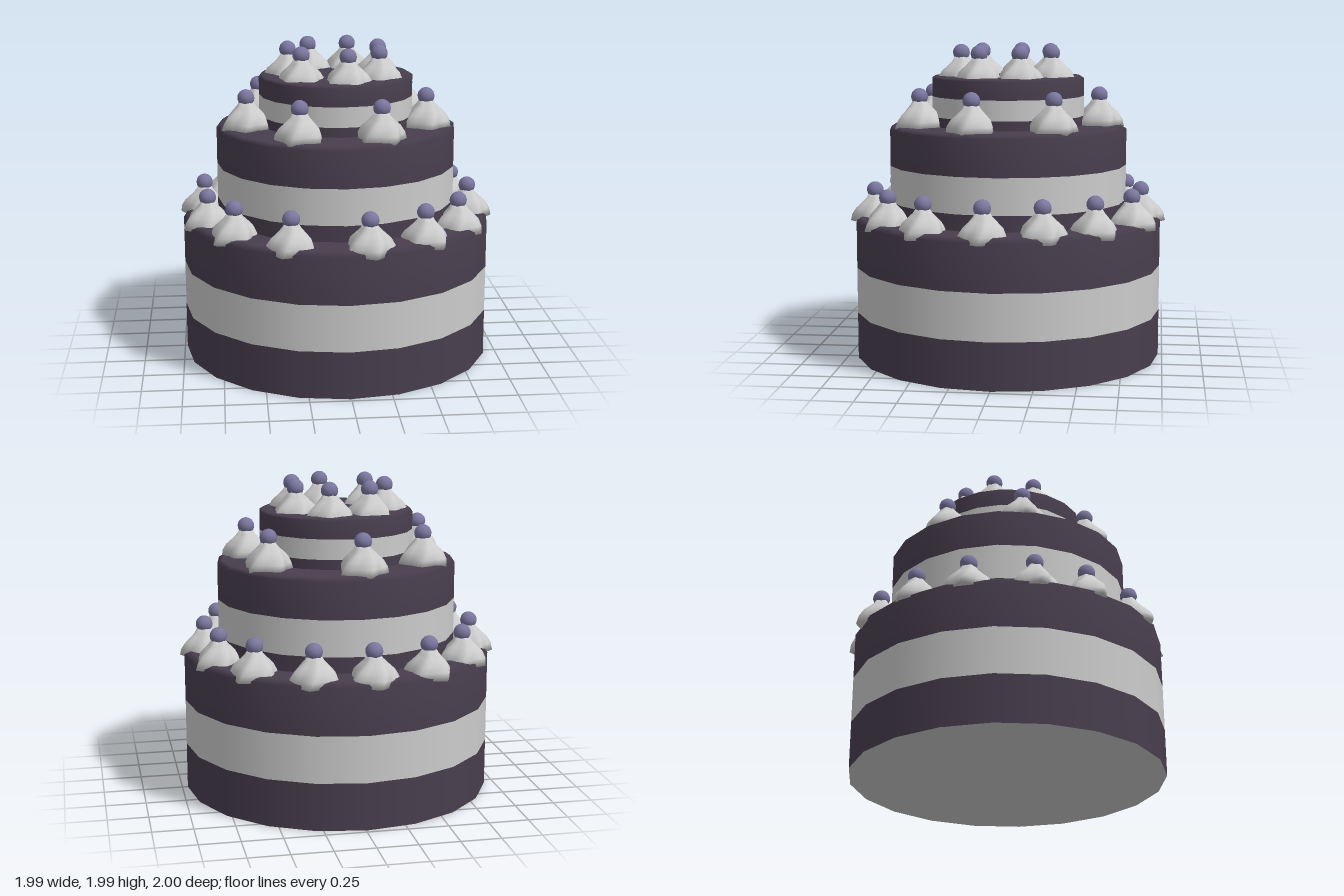
import * as THREE from 'three';
import { mergeVertices } from 'three/addons/utils/BufferGeometryUtils.js';

const CENTRE_X = -0.01;
const sponge = new THREE.MeshStandardMaterial({ color: 0x483e4e });
const cream = new THREE.MeshStandardMaterial({ color: 0xcccccc });
const berryBlue = new THREE.MeshStandardMaterial({ color: 0x7a769e });

// radius, heights of the band edges, and the [x, z] spots of the cream dollops
const tiers = [
  { name: 'bottomTier', r: 0.975, y: [0, 0.295, 0.585, 0.905], berryY: 1.063, spots: [
    [-0.07, -0.85], [0.28, -0.8], [0.6, -0.59], [0.78, -0.29], [0.83, 0.06], [0.71, 0.43], [0.47, 0.69],
    [0.12, 0.84], [-0.34, 0.78], [-0.67, 0.53], [-0.83, 0.23], [-0.85, -0.16], [-0.71, -0.49], [-0.43, -0.75]] },
  { name: 'middleTier', r: 0.755, y: [0.9, 1.005, 1.23, 1.48], berryY: 1.668, spots: [
    [-0.06, -0.58], [0.47, -0.33], [0.54, 0.16], [0.22, 0.53], [-0.27, 0.52], [-0.58, 0.14], [-0.49, -0.34]] },
  { name: 'topTier', r: 0.485, y: [1.475, 1.54, 1.665, 1.79], berryY: 1.937, spots: [
    [-0.17, -0.26], [0.085, -0.285], [0.265, -0.105], [0.245, 0.15], [0.04, 0.29], [-0.24, 0.19], [-0.31, -0.06]] },
];

function lathe(points, segments) {
  return new THREE.LatheGeometry(points.map(([r, y]) => new THREE.Vector2(r, y)), segments);
}

function addMesh(parent, name, geometry, material) {
  const mesh = new THREE.Mesh(geometry, material);
  mesh.name = name;
  parent.add(mesh);
  return mesh;
}

// Piped dollop: a five-lobed lathe whose ridges twist towards the top
function dollopGeometry() {
  const height = 0.18;
  const geo = lathe([[0, 0], [0.158, 0], [0.15, 0.045], [0.128, 0.085], [0.09, 0.12], [0.06, 0.15], [0.04, height], [0, height]], 30);
  const pos = geo.attributes.position;
  for (let i = 0; i < pos.count; i++) {
    const x = pos.getX(i), y = pos.getY(i), z = pos.getZ(i);
    const angle = Math.atan2(x, z);
    const t = y / height;
    // 0 on a ridge, 1 in a valley
    const valley = Math.acos(Math.cos(angle * 5)) / Math.PI;
    const r = Math.hypot(x, z) * (1 - 0.25 * (1 - 0.5 * t) * Math.pow(valley, 0.85));
    const a = angle + t * 0.6;
    pos.setXYZ(i, r * Math.sin(a), y, r * Math.cos(a));
  }
  geo.deleteAttribute('normal');
  geo.deleteAttribute('uv');
  const merged = mergeVertices(geo, 1e-4);
  merged.computeVertexNormals();
  return merged;
}

export function createModel() {
  const cake = new THREE.Group();
  cake.name = 'tieredCake';
  const dollopGeo = dollopGeometry();
  const berryGeo = new THREE.SphereGeometry(0.053, 16, 12);

  for (const { name, r, y, berryY, spots } of tiers) {
    const tier = new THREE.Group();
    tier.name = name;
    cake.add(tier);

    // Sponge, cream and sponge layers; the upper one has a softened rim and a top
    const bevel = r * 0.04;
    const layers = [
      ['lowerSponge', [[r, y[0]], [r, y[1]]], sponge],
      ['creamFilling', [[r, y[1]], [r, y[2]]], cream],
      ['upperSponge', [[r, y[2]], [r, y[3] - bevel * 0.7], [r - bevel, y[3]], [0, y[3]]], sponge],
    ];
    for (const [label, profile, material] of layers) {
      addMesh(tier, label, lathe(profile, 20), material).position.x = CENTRE_X;
    }

    // Dollops with a berry on each, one ridge pointing away from the centre
    for (const [x, z] of spots) {
      const topping = new THREE.Group();
      topping.name = 'topping';
      topping.position.set(x, berryY - 0.198, z);
      topping.rotation.y = Math.atan2(x - CENTRE_X, z);
      addMesh(topping, 'creamDollop', dollopGeo, cream);
      addMesh(topping, 'berry', berryGeo, berryBlue).position.y = 0.198;
      tier.add(topping);
    }
  }

  // Underside of the cake
  const base = addMesh(cake, 'base', new THREE.CircleGeometry(0.975, 20), cream);
  base.rotation.x = Math.PI / 2;
  base.position.x = CENTRE_X;
  return cake;
}
